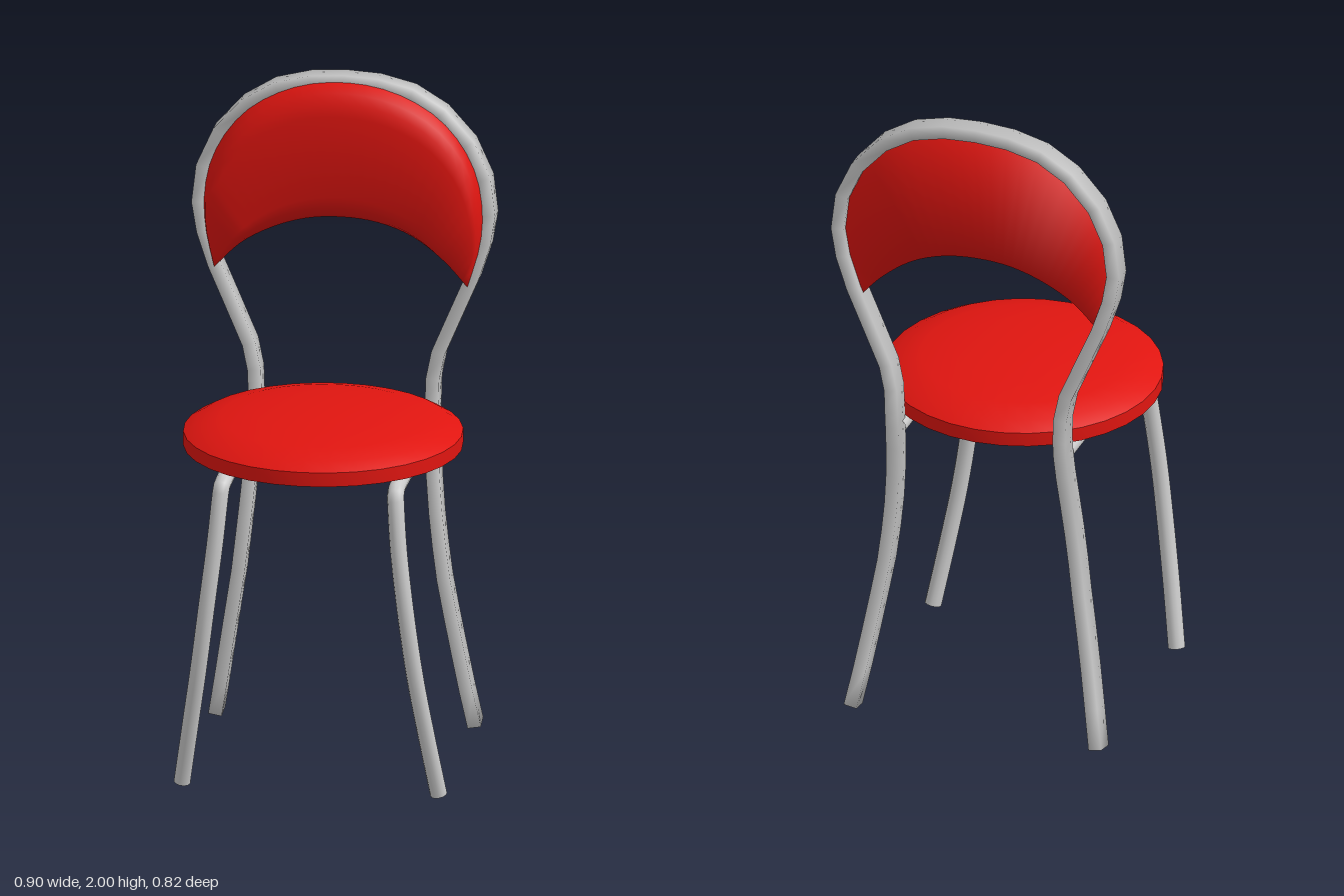
import * as THREE from 'three';
import { toCreasedNormals } from 'three/addons/utils/BufferGeometryUtils.js';

const grey = new THREE.MeshStandardMaterial({ color: 0xcccccc });
const red = new THREE.MeshStandardMaterial({ color: 0xe01510 });
const V = (x, y, z = 0) => new THREE.Vector3(x, y, z);

// Skin a list of rings (each counter-clockwise about the direction of travel), capping the ends
function loft(rings, crease) {
  const n = rings[0].length, last = (rings.length - 1) * n, index = [];
  for (let i = 0; i < rings.length - 1; i++) {
    for (let j = 0; j < n; j++) {
      const a = i * n + j, b = i * n + (j + 1) % n;
      index.push(a, b, b + n, a, b + n, a + n);
    }
  }
  for (let j = 1; j < n - 1; j++) {
    index.push(0, j + 1, j, last, last + j, last + j + 1);
  }
  const geo = new THREE.BufferGeometry().setFromPoints(rings.flat());
  geo.setIndex(index);
  return toCreasedNormals(geo, crease);
}

function add(group, name, geometry, material) {
  const mesh = new THREE.Mesh(geometry, material);
  mesh.name = name;
  group.add(mesh);
  return mesh;
}

// One bar with softened edges runs from a rear foot, round the backrest and down to the other foot
function frameGeometry() {
  const half = [
    V(0.383, 0.012, -0.378), V(0.362, 0.13, -0.354), V(0.342, 0.25, -0.334), V(0.322, 0.37, -0.318),
    V(0.304, 0.48, -0.307), V(0.292, 0.58, -0.303), V(0.281, 0.68, -0.306), V(0.272, 0.78, -0.318),
    V(0.265, 0.88, -0.336), V(0.262, 0.96, -0.35), V(0.262, 1.01, -0.355), V(0.264, 1.08, -0.355),
    V(0.28, 1.16, -0.355), V(0.335, 1.29, -0.355), V(0.382, 1.4, -0.355), V(0.415, 1.5, -0.355),
    V(0.43, 1.59, -0.355), V(0.417, 1.7, -0.355), V(0.37, 1.805, -0.355), V(0.29, 1.895, -0.355),
    V(0.2, 1.95, -0.355), V(0.1, 1.975, -0.355),
  ];
  const mirrored = half.map(p => V(-p.x, p.y, p.z)).reverse();
  const curve = new THREE.CatmullRomCurve3([...half, V(0, 1.981, -0.355), ...mirrored]);
  const steps = half.length * 2;
  const section = [[1, 1], [1, -1], [-1, -1], [-1, 1]];
  const rings = [];
  for (let i = 0; i <= steps; i++) {
    const p = curve.getPoint(i / steps), t = curve.getTangent(i / steps);
    const side = t.clone().cross(V(0, 0, 1)).normalize();
    const depth = side.clone().cross(t);
    rings.push(section.map(([a, b]) =>
      p.clone().addScaledVector(side, a * 0.02).addScaledVector(depth, b * 0.03)));
  }
  return loft(rings, 1.7);
}

// Crescent pad: flat behind, padded in front, spanning between a lower and an upper arc
function padGeometry() {
  const left = V(-0.382, 1.395), right = V(0.368, 1.37);
  const upper = new THREE.CatmullRomCurve3([left, V(-0.405, 1.5), V(-0.412, 1.6), V(-0.395, 1.71),
    V(-0.35, 1.805), V(-0.28, 1.885), V(-0.19, 1.94), V(-0.1, 1.97), V(0, 1.98), V(0.1, 1.97),
    V(0.19, 1.94), V(0.28, 1.885), V(0.35, 1.805), V(0.395, 1.71), V(0.412, 1.6), V(0.405, 1.5), right]);
  const lower = new THREE.CatmullRomCurve3([left, V(-0.3, 1.475), V(-0.2, 1.53), V(-0.1, 1.56),
    V(0, 1.567), V(0.1, 1.556), V(0.2, 1.52), V(0.295, 1.45), right]);
  // [fraction of the way up, fraction of the padding depth]
  const profile = [[1, 0], [0.94, 0.48], [0.87, 0.82], [0.78, 1], [0.18, 1], [0.1, 0.82], [0.04, 0.48], [0, 0]];
  const rings = [], steps = 32;
  for (let i = 0; i <= steps; i++) {
    const a = lower.getPointAt(i / steps), b = upper.getPointAt(i / steps);
    const puff = 0.05 * Math.min(1, a.distanceTo(b) / 0.2);
    const at = (f, z) => a.clone().lerp(b, f).setZ(z);
    rings.push([at(0, -0.37), at(1, -0.37), ...profile.map(([f, d]) => at(f, -0.322 + d * puff))]);
  }
  return loft(rings, 1.7);
}

// Round tube: a rail under the seat that bends down into a bowed front leg
function addFrontLeg(group, s) {
  const curve = new THREE.CatmullRomCurve3([
    V(0.256, 0.945, -0.345), V(0.256, 0.942, 0), V(0.256, 0.938, 0.295), V(0.258, 0.93, 0.318),
    V(0.26, 0.908, 0.327), V(0.272, 0.77, 0.349), V(0.296, 0.57, 0.36), V(0.321, 0.38, 0.349),
    V(0.349, 0.2, 0.322), V(0.38, 0.006, 0.284),
  ].map(p => V(s * p.x, p.y, p.z)));
  const leg = new THREE.Group();
  leg.name = s > 0 ? 'leftFrontLeg' : 'rightFrontLeg';
  add(leg, 'legTube', new THREE.TubeGeometry(curve, 80, 0.025, 12), grey);
  const foot = add(leg, 'footCap', new THREE.CircleGeometry(0.025, 12), grey);
  foot.position.copy(curve.getPoint(1));
  foot.lookAt(foot.position.clone().add(curve.getTangent(1)));
  group.add(leg);
}

export function createModel() {
  const chair = new THREE.Group();
  chair.name = 'chair';

  // Round domed seat
  const profile = [[0, 0.975], [0.41, 0.975], [0.41, 1.018], [0.37, 1.041], [0.3, 1.059],
    [0.2, 1.071], [0.1, 1.078], [0, 1.08]].map(([r, y]) => new THREE.Vector2(r, y));
  const seat = add(chair, 'seat', toCreasedNormals(new THREE.LatheGeometry(profile, 32), 0.45), red);
  seat.position.set(-0.007, 0, 0.002);

  add(chair, 'backFrameAndRearLegs', frameGeometry(), grey);
  add(chair, 'backrestPad', padGeometry(), red);
  for (const s of [1, -1]) addFrontLeg(chair, s);
  return chair;
}
